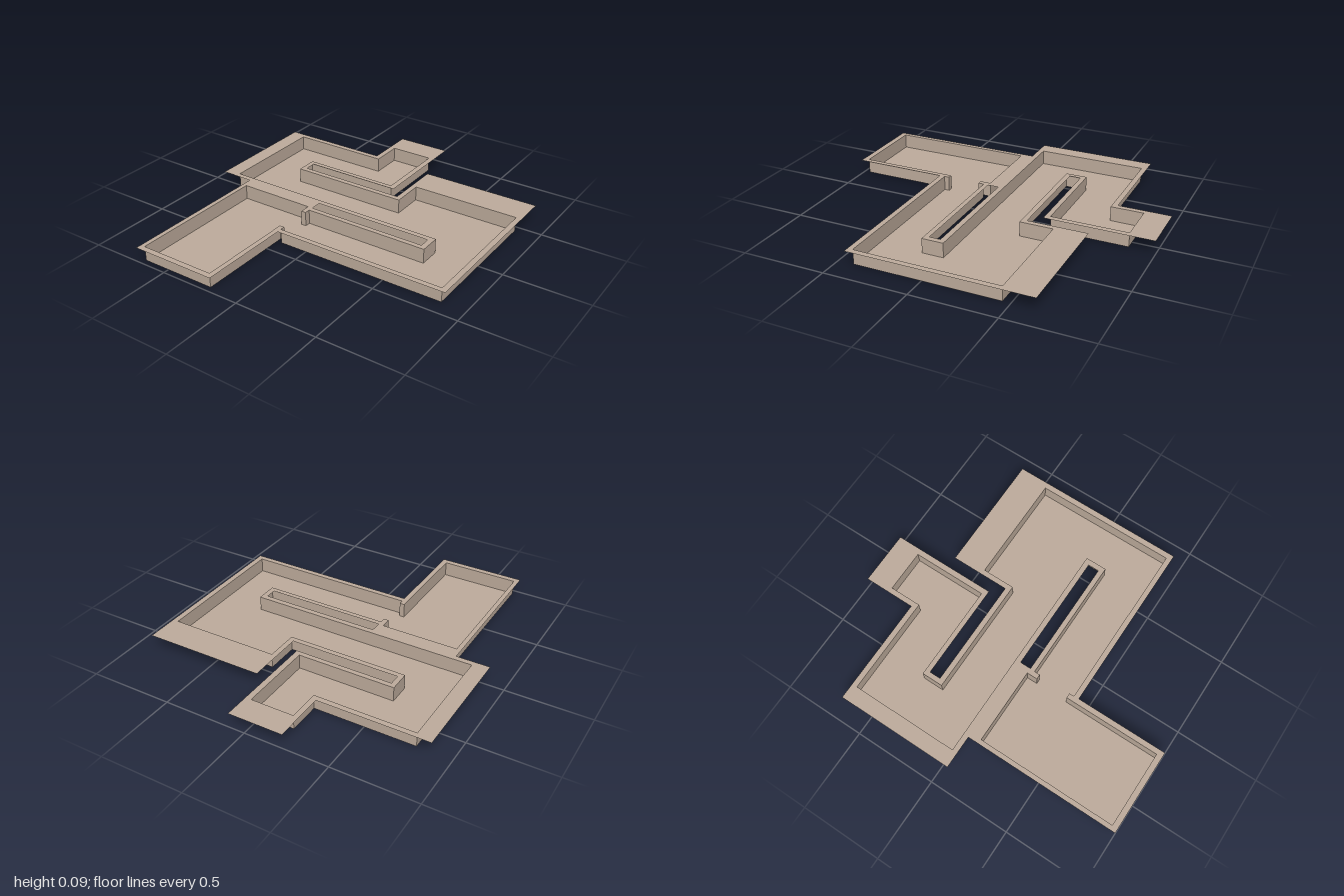
import * as THREE from 'three';
import { mergeGeometries } from 'three/addons/utils/BufferGeometryUtils.js';

const HEIGHT = 0.088;

// Room outline at floor level, as [x, z] corners
const ROOM = [
  [-0.8, 0.01], [-0.8, -0.65], [-0.2, -0.65], [-0.2, -0.845], [0.06, -0.845], [0.06, -0.385],
  [-0.53, -0.385], [-0.53, -0.255], [0.195, -0.255], [0.195, -0.455], [0.855, -0.455],
  [0.855, 0.405], [-0.17, 0.405], [-0.17, 0.375], [-0.2, 0.375], [-0.2, 0.965],
  [-0.665, 0.965], [-0.665, 0.11], [-0.2, 0.11], [-0.2, 0.175], [-0.17, 0.175],
  [-0.17, 0.14], [0.595, 0.14], [0.595, 0.01],
];

// Outer edge of the flat rim on top of the walls
const RIM = [
  [-0.895, 0.043], [-0.895, -0.683], [-0.233, -0.683], [-0.233, -1], [0.095, -1], [0.095, -0.355],
  [-0.5, -0.355], [-0.5, -0.287], [0.163, -0.287], [0.163, -0.647], [0.89, -0.647],
  [0.89, 0.437], [-0.168, 0.437], [-0.168, 1], [-0.693, 1], [-0.693, 0.043],
];

// Narrow opening in the rim between the two halves
const SLOT = [[-0.168, 0.043], [0.562, 0.043], [0.562, 0.11], [-0.168, 0.11]];

const toPoints = (corners) => corners.map(([x, z]) => new THREE.Vector2(x, -z));

// Horizontal sheet from an outline with optional holes
function sheet(outline, holes, y) {
  const shape = new THREE.Shape(toPoints(outline));
  holes.forEach((hole) => shape.holes.push(new THREE.Path(toPoints(hole))));
  return new THREE.ShapeGeometry(shape).rotateX(-Math.PI / 2).translate(0, y, 0);
}

// One upright panel along every edge of the outline
function wallPanels(outline) {
  return mergeGeometries(outline.map(([x0, z0], i) => {
    const [x1, z1] = outline[(i + 1) % outline.length];
    return new THREE.PlaneGeometry(Math.hypot(x1 - x0, z1 - z0), HEIGHT)
      .rotateY(Math.atan2(z0 - z1, x1 - x0))
      .translate((x0 + x1) / 2, HEIGHT / 2, (z0 + z1) / 2);
  }));
}

export function createModel() {
  const group = new THREE.Group();
  group.name = 'connectedRooms';
  const material = new THREE.MeshStandardMaterial({ color: 0xbfad9d, side: THREE.DoubleSide });
  const add = (name, geometry) => {
    const mesh = new THREE.Mesh(geometry, material);
    mesh.name = name;
    group.add(mesh);
  };

  add('floor', sheet(ROOM, [], 0));
  add('walls', wallPanels(ROOM));
  add('wallRim', sheet(RIM, [ROOM, SLOT], HEIGHT));
  return group;
}
